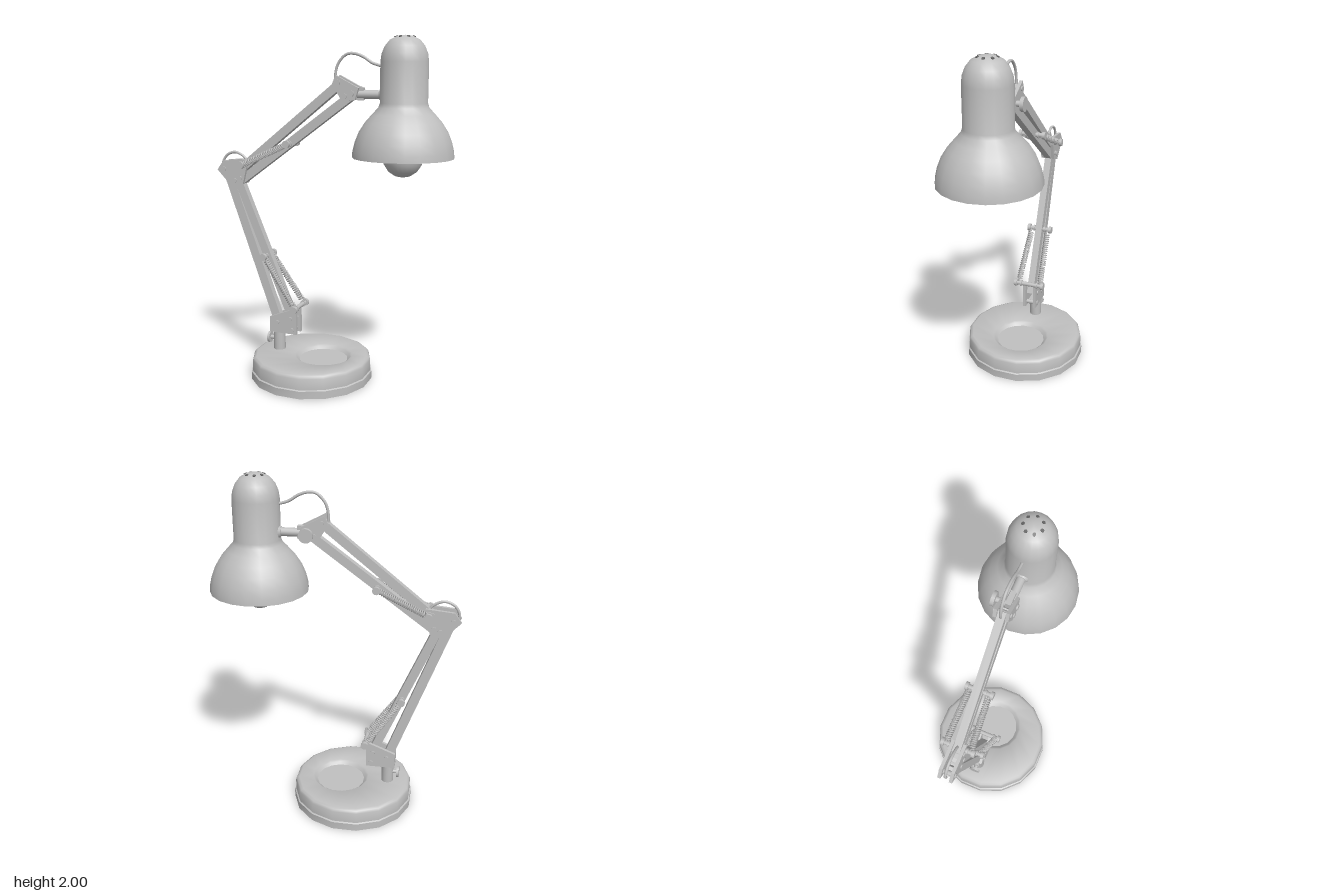
import * as THREE from 'three';
import { toCreasedNormals } from 'three/addons/utils/BufferGeometryUtils.js';

const V = (x, y, z = 0) => new THREE.Vector3(x, y, z);

export function createModel() {
  const model = new THREE.Group();
  const grey = new THREE.MeshStandardMaterial({ color: 0xc0c0c0 });
  grey.name = 'satin grey';
  const dark = new THREE.MeshStandardMaterial({ color: 0x666666 });
  dark.name = 'vent shadow';

  function add(name, geometry, parent = model, material = grey) {
    const mesh = new THREE.Mesh(geometry, material);
    mesh.name = name;
    parent.add(mesh);
    return mesh;
  }
  // Cylinder or cone between two points
  function rod(name, a, b, r0, r1 = r0, sides = 16, parent = model) {
    const dir = b.clone().sub(a);
    const mesh = add(name, new THREE.CylinderGeometry(r1, r0, dir.length(), sides), parent);
    mesh.position.copy(a).add(b).multiplyScalar(0.5);
    mesh.quaternion.setFromUnitVectors(V(0, 1, 0), dir.normalize());
    return mesh;
  }
  // Rectangular arm bar lying in the xy plane
  function bar(name, a, b, width) {
    const d = b.clone().sub(a);
    const mesh = add(name, new THREE.BoxGeometry(d.length(), width, 0.042));
    mesh.position.copy(a).add(b).multiplyScalar(0.5);
    mesh.rotation.z = Math.atan2(d.y, d.x);
  }
  // Pair of side plates with through bolts
  function bracket(name, outline, bolts) {
    const group = new THREE.Group();
    group.name = name;
    model.add(group);
    const shape = new THREE.Shape(outline.map(([x, y]) => new THREE.Vector2(x, y)));
    const geo = new THREE.ExtrudeGeometry(shape, { depth: 0.018, bevelEnabled: false });
    for (const z of [-0.042, 0.024]) add('sidePlate', geo, group).position.z = z;
    for (const [x, y] of bolts) rod('bolt', V(x, y, -0.048), V(x, y, 0.048), 0.014, 0.014, 10, group);
  }
  function cable(name, points, r = 0.008) {
    add(name, new THREE.TubeGeometry(new THREE.CatmullRomCurve3(points), 32, r, 8));
  }

  // Base: stacked rings [centre x, y, radius], ending in an offset dished tray
  const rings = [
    [-0.117, 0, 0], [-0.117, 0, 0.365], [-0.117, 0.045, 0.365], [-0.117, 0.05, 0.357],
    [-0.117, 0.115, 0.357], [-0.117, 0.129, 0.35], [-0.117, 0.136, 0.335],
    [-0.04, 0.136, 0.172], [-0.04, 0.127, 0.16], [-0.04, 0.113, 0.145], [-0.04, 0.113, 0],
  ];
  const sides = 16, pos = [], index = [];
  rings.forEach(([cx, y, r], i) => {
    for (let j = 0; j < sides; j++) {
      const a = (j + 0.5) / sides * Math.PI * 2;
      pos.push(cx + r * Math.sin(a), y, r * Math.cos(a));
      if (i === 0) continue;
      const k = (j + 1) % sides, lo = (i - 1) * sides, hi = i * sides;
      index.push(lo + j, lo + k, hi + k, lo + j, hi + k, hi + j);
    }
  });
  const baseGeo = new THREE.BufferGeometry();
  baseGeo.setAttribute('position', new THREE.Float32BufferAttribute(pos, 3));
  baseGeo.setIndex(index);
  add('base', toCreasedNormals(baseGeo, 0.75));

  // Swivel post and thumb screw
  rod('post', V(-0.33, 0.12), V(-0.33, 0.26), 0.036);
  rod('screwShaft', V(-0.34, 0.2), V(-0.39, 0.2), 0.012);
  const wing = add('screwHead', new THREE.CylinderGeometry(0.034, 0.034, 0.014, 14));
  wing.rotation.z = Math.PI / 2;
  wing.position.set(-0.394, 0.2, 0);

  // Joint brackets
  bracket('baseBracket', [[-0.375, 0.25], [-0.2, 0.25], [-0.2, 0.415], [-0.375, 0.345]],
    [[-0.325, 0.315], [-0.24, 0.345], [-0.23, 0.275]]);
  add('bracketFloor', new THREE.BoxGeometry(0.12, 0.02, 0.05)).position.set(-0.315, 0.262, 0);
  bracket('elbowBracket', [[-0.61, 1.125], [-0.54, 1.15], [-0.515, 1.25], [-0.51, 1.3], [-0.67, 1.285], [-0.71, 1.23]],
    [[-0.665, 1.235], [-0.595, 1.17], [-0.55, 1.265], [-0.56, 1.185]]);
  bracket('headBracket', [[0.03, 1.74], [0.09, 1.645], [0.165, 1.655], [0.185, 1.72], [0.05, 1.79]],
    [[0.065, 1.75], [0.105, 1.675]]);

  // Parallel arm bars
  bar('lowerArmRear', V(-0.322, 0.295), V(-0.655, 1.22), 0.054);
  bar('lowerArmFront', V(-0.235, 0.335), V(-0.59, 1.185), 0.05);
  bar('upperArmTop', V(-0.57, 1.232), V(0.075, 1.75), 0.05);
  bar('upperArmBottom', V(-0.56, 1.17), V(0.13, 1.675), 0.05);

  // Springs with their cross pins; each end is [x, y, pin half width]
  function springPair(name, a, b) {
    const group = new THREE.Group();
    group.name = name;
    model.add(group);
    for (const [x, y, w] of [a, b]) {
      rod('springPin', V(x, y, -w), V(x, y, w), 0.013, 0.013, 10, group);
      for (const s of [-1, 1]) {
        rod('pinCap', V(x, y, s * (w - 0.018)), V(x, y, s * w), 0.022, 0.022, 14, group);
        rod('pinCollar', V(x, y, s * (w - 0.048)), V(x, y, s * (w - 0.04)), 0.019, 0.019, 14, group);
      }
    }
    for (const s of [-1, 1]) {
      const p = V(a[0], a[1], s * (a[2] - 0.026)), q = V(b[0], b[1], s * (b[2] - 0.026));
      const dir = q.clone().sub(p).normalize();
      const u = V(0, 0, 1).cross(dir).normalize(), v = dir.clone().cross(u);
      const turns = 24, steps = turns * 9, pts = [p];
      for (let i = 0; i <= steps; i++) {
        const t = i / steps, ang = t * turns * Math.PI * 2;
        pts.push(p.clone().lerp(q, 0.07 + 0.86 * t)
          .addScaledVector(u, 0.015 * Math.cos(ang)).addScaledVector(v, 0.015 * Math.sin(ang)));
      }
      pts.push(q);
      const curve = new THREE.CatmullRomCurve3(pts);
      curve.arcLengthDivisions = 800;
      add('spring', new THREE.TubeGeometry(curve, steps * 1.3 | 0, 0.0045, 5), group);
    }
  }
  springPair('lowerSprings', [-0.4, 0.72, 0.078], [-0.195, 0.42, 0.096]);
  springPair('upperSprings', [-0.53, 1.268, 0.096], [-0.24, 1.4, 0.08]);

  // Head pivot, clamp knob and shade mount
  rod('pivotBolt', V(0.145, 1.69, -0.08), V(0.145, 1.69, 0.05), 0.016);
  rod('clampKnob', V(0.145, 1.69, -0.09), V(0.145, 1.69, -0.07), 0.04);
  add('pivotLug', new THREE.BoxGeometry(0.08, 0.07, 0.03)).position.set(0.165, 1.688, 0);
  rod('mountArm', V(0.17, 1.684), V(0.31, 1.684), 0.024);
  rod('mountFlange', V(0.33, 1.684), V(0.296, 1.684), 0.055, 0.028);

  // Lampshade: inner wall down, rim, then outer wall up over the dome
  const outer = [[0.28, 1.345], [0.277, 1.38], [0.265, 1.43], [0.243, 1.485], [0.21, 1.537], [0.172, 1.58],
    [0.138, 1.617], [0.13, 1.64], [0.13, 1.86], [0.124, 1.902], [0.108, 1.942], [0.082, 1.974], [0.045, 1.994], [0, 2]];
  const inner = outer.map(([r, y], i) => [Math.max(0, r - 0.01), i ? y - 0.006 : y]).reverse();
  const profile = [...inner, ...outer].map(([r, y]) => new THREE.Vector2(r, y));
  const head = new THREE.Group();
  head.name = 'lampHead';
  head.position.x = 0.432;
  model.add(head);
  add('shade', toCreasedNormals(new THREE.LatheGeometry(profile, 20), 0.7), head);

  // Ring of vents on the dome
  for (let i = 0; i < 7; i++) {
    const a = i / 7 * Math.PI * 2;
    const vent = add('vent', new THREE.CylinderGeometry(0.009, 0.009, 0.006, 10), head, dark);
    vent.position.set(0.05 * Math.cos(a), 1.991, 0.05 * Math.sin(a));
    vent.quaternion.setFromUnitVectors(V(0, 1, 0), V(0.4 * Math.cos(a), 1, 0.4 * Math.sin(a)).normalize());
  }

  // Bulb and socket
  const bulb = [[0, 1.235], [0.043, 1.244], [0.08, 1.269], [0.104, 1.306], [0.113, 1.348], [0.104, 1.392],
    [0.082, 1.434], [0.058, 1.48], [0.045, 1.53], [0.045, 1.6]].map(([r, y]) => new THREE.Vector2(r, y));
  add('bulb', new THREE.LatheGeometry(bulb, 24), head);
  rod('socket', V(0, 1.58), V(0, 1.85), 0.06, 0.06, 20, head);

  // Cable loops at the elbow and head
  cable('elbowCable', [V(-0.69, 1.22), V(-0.695, 1.265), V(-0.665, 1.315), V(-0.61, 1.335), V(-0.55, 1.31), V(-0.515, 1.265)]);
  cable('headCable', [V(0.04, 1.73), V(0.034, 1.78), V(0.05, 1.85), V(0.1, 1.902), V(0.15, 1.905),
    V(0.2, 1.887), V(0.25, 1.855), V(0.315, 1.835)]);

  return model;
}
